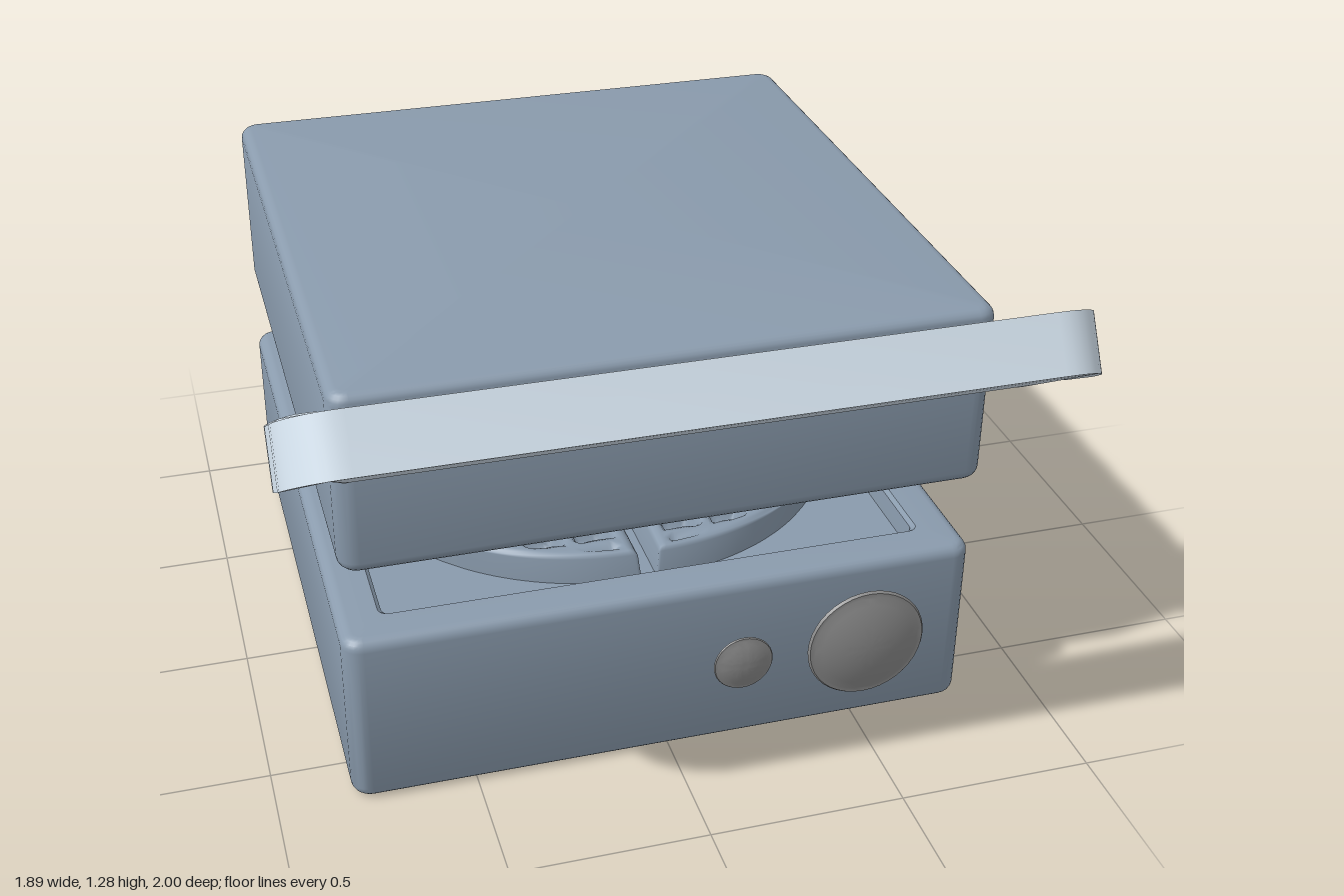
import * as THREE from 'three';
import { toCreasedNormals } from 'three/addons/utils/BufferGeometryUtils.js';

const bodyMat = new THREE.MeshStandardMaterial({ color: 0x8a9bad });
const handleMat = new THREE.MeshStandardMaterial({ color: 0xd8e6f2 });
const knobMat = new THREE.MeshStandardMaterial({ color: 0x8c8c8c });

const HX = 0.805, HZ = 0.8275, H = 0.475, FLOOR = H - 0.065;

function mesh(name, geometry, material) {
  const m = new THREE.Mesh(geometry, material);
  m.name = name;
  return m;
}

// Rounded rectangle loop, inset from the housing outline
function ring(inset, y) {
  const pts = [], hx = Math.max(HX - inset, 0), hz = Math.max(HZ - inset, 0);
  const r = Math.min(Math.max(0.05 - inset, 0.025), hx, hz), n = 6;
  for (let c = 0; c < 4; c++) {
    const sx = c === 0 || c === 3 ? 1 : -1, sz = c < 2 ? 1 : -1;
    for (let k = 0; k <= n; k++) {
      const t = (c + k / n) * Math.PI / 2;
      pts.push([sx * (hx - r) + r * Math.cos(t), y, sz * (hz - r) + r * Math.sin(t)]);
    }
  }
  return pts;
}

// Housing: skin over underside, rounded walls, rim and recessed tray
function housingGeometry() {
  const profile = [[1, 0]];
  const arc = (cy, r, from, to) => {
    for (let k = 0; k <= 5; k++) {
      const t = from + (to - from) * k / 5;
      profile.push([r - r * Math.cos(t), cy + r * Math.sin(t)]);
    }
  };
  arc(0.03, 0.03, -Math.PI / 2, 0);
  arc(H - 0.03, 0.03, 0, Math.PI / 2);
  profile.push([0.105, H], [0.115, H - 0.01], [0.12, FLOOR], [1, FLOOR]);

  const rings = profile.map(([d, y]) => ring(d, y));
  const n = rings[0].length, index = [];
  for (let i = 0; i < rings.length - 1; i++) {
    for (let j = 0; j < n; j++) {
      const a = i * n + j, b = i * n + (j + 1) % n;
      index.push(a, a + n, b, b, a + n, b + n);
    }
  }
  const g = new THREE.BufferGeometry();
  g.setAttribute('position', new THREE.Float32BufferAttribute(rings.flat(2), 3));
  g.setIndex(index);
  return toCreasedNormals(g, 0.6);
}

// One quarter of the round waffle grid: raised border with sunken square cells
function waffleGeometry() {
  const N = 60, R = 0.635, GAP = 0.02, TOP = H + 0.012 - FLOOR, PITCH = 0.132;
  const g = new THREE.PlaneGeometry(1, 1, N, N).rotateX(-Math.PI / 2);
  const p = g.attributes.position;
  const cell = (v) => Math.abs(THREE.MathUtils.euclideanModulo((v - 0.03) / PITCH, 1) - 0.5);
  for (let i = 0; i < p.count; i++) {
    const u = p.getX(i) + 0.5, v = p.getZ(i) + 0.5;
    const x = R * u * Math.sqrt(1 - v * v / 2), z = R * v * Math.sqrt(1 - u * u / 2);
    const edge = Math.min(x, z, R - Math.hypot(x, z));
    const pocket = 1 - THREE.MathUtils.smoothstep(Math.max(cell(x), cell(z)), 0.2, 0.42);
    const y = edge < 0.001 ? 0
      : TOP - 0.06 * pocket * THREE.MathUtils.smoothstep(edge, 0.03, 0.065)
        - 0.012 * (1 - THREE.MathUtils.smoothstep(edge, 0.005, 0.025));
    p.setXYZ(i, x + GAP, y, z + GAP);
  }
  g.computeVertexNormals();
  return g;
}

// U-shaped grip, laid flat, slightly sagged along its arms
function handleGeometry() {
  const s = new THREE.Shape(), IN = 0.795, L = 0.56, BAR = 0.415;
  s.moveTo(IN, 0);
  s.lineTo(0.855, 0);
  s.bezierCurveTo(0.9, 0.04, 0.945, 0.14, 0.945, 0.27);
  s.lineTo(0.945, 0.4);
  s.bezierCurveTo(0.945, 0.49, 0.885, L, 0.8, L);
  s.lineTo(-0.8, L);
  s.bezierCurveTo(-0.885, L, -0.945, 0.49, -0.945, 0.4);
  s.lineTo(-0.945, 0.27);
  s.bezierCurveTo(-0.945, 0.14, -0.9, 0.04, -0.855, 0);
  s.lineTo(-IN, 0);
  for (let k = 1; k <= 5; k++) s.lineTo(-IN, BAR * k / 5);
  for (let k = 5; k >= 1; k--) s.lineTo(IN, BAR * k / 5);
  const g = new THREE.ExtrudeGeometry(s, { depth: 0.145, bevelEnabled: false, curveSegments: 10 });
  const p = g.attributes.position;
  for (let i = 0; i < p.count; i++) {
    p.setZ(i, p.getZ(i) + 0.018 * Math.sin(Math.PI * p.getY(i) / L));
  }
  return toCreasedNormals(g, 0.6);
}

// Domed dial with a narrow flat collar
function knobGeometry(r, h) {
  const pts = [new THREE.Vector2(0, 0), new THREE.Vector2(r, 0),
    new THREE.Vector2(r * 0.97, h * 0.22), new THREE.Vector2(r * 0.9, h * 0.22)];
  for (let k = 0; k <= 8; k++) {
    const t = k / 8;
    pts.push(new THREE.Vector2(r * 0.88 * (1 - t), h * (0.25 + 0.75 * (1 - (1 - t) ** 2))));
  }
  return toCreasedNormals(new THREE.LatheGeometry(pts, 40).rotateX(Math.PI / 2), 0.5);
}

export function createModel() {
  const model = new THREE.Group();
  model.name = 'waffleIron';
  const housing = housingGeometry(), quarter = waffleGeometry();

  // Lower and upper halves share the same open tray and plate
  const half = (name) => {
    const g = new THREE.Group();
    g.name = name;
    g.add(mesh('housing', housing, bodyMat));
    for (let k = 0; k < 4; k++) {
      const q = mesh('waffleQuarter', quarter, bodyMat);
      q.rotation.y = k * Math.PI / 2;
      q.position.y = FLOOR;
      g.add(q);
    }
    model.add(g);
    return g;
  };
  half('base').position.set(-0.007, 0.004, -0.1725);
  const lid = half('lid');
  lid.rotation.z = Math.PI;
  lid.position.set(0, 1.15, -0.1725);

  // Carrying handle, tilted up at the front
  const handle = mesh('handle', handleGeometry(), handleMat);
  handle.rotation.x = Math.PI / 3;
  handle.position.set(0, 1.0, 0.44);
  model.add(handle);

  // Front controls
  const dial = mesh('largeDial', knobGeometry(0.157, 0.03), knobMat);
  dial.position.set(0.515, 0.245, 0.672);
  const button = mesh('smallButton', knobGeometry(0.078, 0.016), knobMat);
  button.position.set(0.186, 0.245, 0.672);
  model.add(dial, button);

  return model;
}
